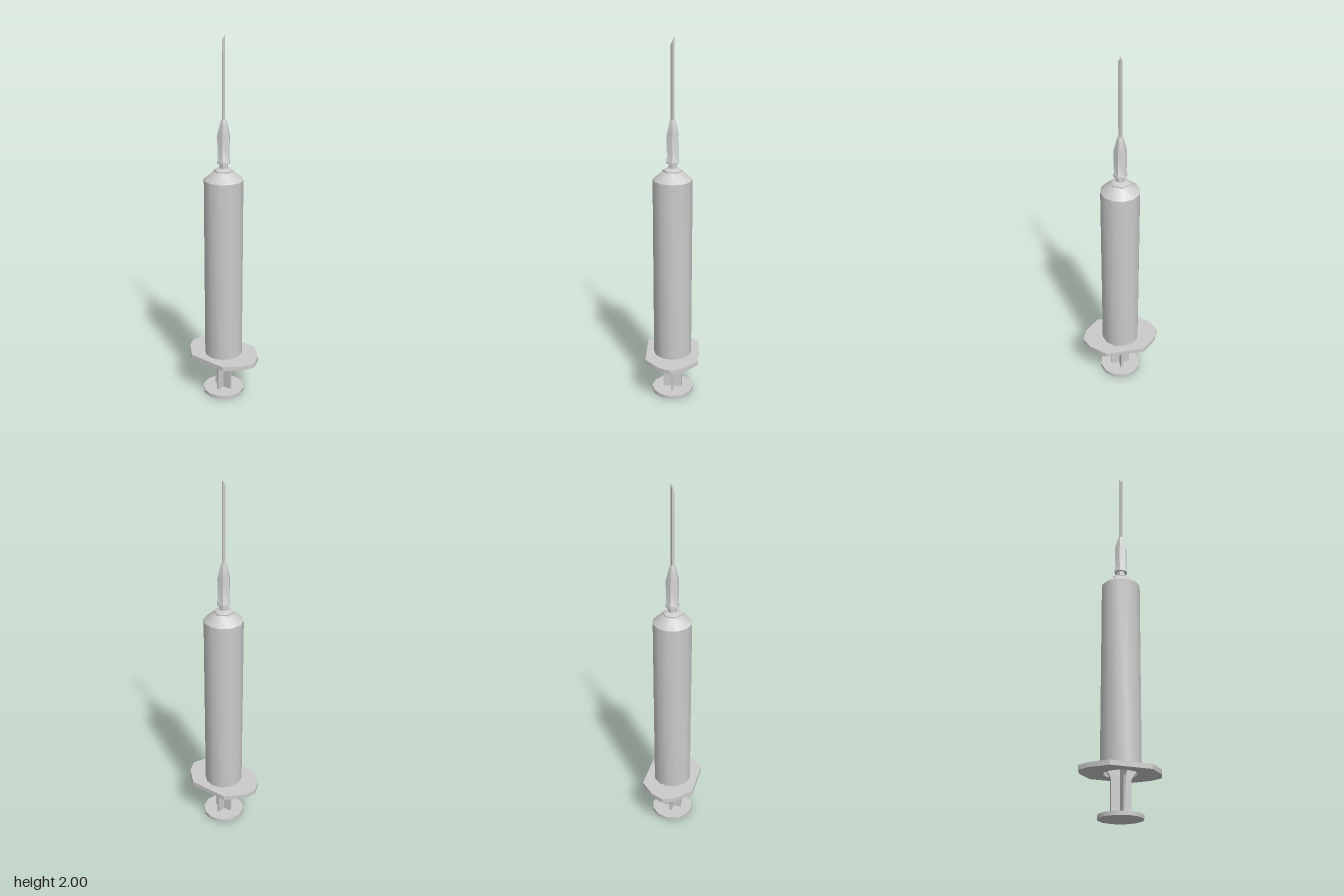
import * as THREE from 'three';
import { toCreasedNormals } from 'three/addons/utils/BufferGeometryUtils.js';

const material = new THREE.MeshStandardMaterial({ color: 0xcccccc });

function addPart(group, name, geometry) {
  const mesh = new THREE.Mesh(toCreasedNormals(geometry, 0.62), material);
  mesh.name = name;
  group.add(mesh);
  return mesh;
}

// Turned part from [radius, height] pairs
function turned(profile, sides, turn = 0) {
  const points = profile.map(([r, y]) => new THREE.Vector2(r, y));
  return new THREE.LatheGeometry(points, sides).rotateY(turn);
}

function polygon(pairs) {
  return new THREE.Shape(pairs.map(([x, y]) => new THREE.Vector2(x, y)));
}

export function createModel() {
  const group = new THREE.Group();
  const bore = 0.088;

  // Hollow barrel: down the bore, then up the outside and over the shoulder
  addPart(group, 'barrel', turned([
    [0, 1.25], [bore, 1.23], [bore, 0.245], [0.105, 0.245],
    [0.105, 1.262], [0.05, 1.308], [0, 1.308],
  ], 12));

  // Finger flange with a hole for the plunger
  const quarter = [[0.221, 0], [0.192, 0.068], [0.111, 0.146]];
  const half = [...quarter, ...quarter.slice(1).reverse().map(([x, y]) => [-x, y])];
  const flange = polygon([...half, ...half.map(([x, y]) => [x, -y]).slice(1).reverse()
    .filter(([, y]) => y !== 0)].toSpliced(5, 0, [-0.221, 0]));
  const hole = [];
  for (let i = 0; i < 12; i++) {
    const a = (i / 12) * Math.PI * 2;
    hole.push(new THREE.Vector2(bore * Math.cos(a), bore * Math.sin(a)));
  }
  flange.holes.push(new THREE.Path(hole));
  const flangeGeometry = new THREE.ExtrudeGeometry(flange, { depth: 0.025, bevelEnabled: false });
  addPart(group, 'fingerFlange', flangeGeometry.rotateX(-Math.PI / 2).translate(0, 0.222, 0));

  // Plunger: thumb rest, two crossed ribs that widen into the bore, stopper
  addPart(group, 'thumbRest', new THREE.CylinderGeometry(0.116, 0.116, 0.02, 12).translate(0, 0.01, 0));
  const rib = polygon([
    [-0.053, 0.018], [0.053, 0.018], [0.053, 0.195], [0.068, 0.222], [0.08, 0.235], [0.08, 1.15],
    [-0.08, 1.15], [-0.08, 0.235], [-0.068, 0.222], [-0.053, 0.195],
  ]);
  for (const [name, turn] of [['plungerRibAcross', 0], ['plungerRibDeep', Math.PI / 2]]) {
    const geometry = new THREE.ExtrudeGeometry(rib, { depth: 0.014, bevelEnabled: false });
    addPart(group, name, geometry.translate(0, 0, -0.007).rotateY(turn));
  }
  addPart(group, 'stopper', new THREE.CylinderGeometry(0.086, 0.086, 0.07, 12).translate(0, 1.185, 0));

  // Six-sided nozzle collar and neck
  addPart(group, 'nozzleCollar', turned([
    [0.053, 1.302], [0.053, 1.314], [0.03, 1.326], [0, 1.326],
  ], 6));
  addPart(group, 'nozzleNeck', turned([[0.026, 1.315], [0.024, 1.37]], 6, Math.PI / 6));

  // Needle hub with a lip at its base and a tapered top
  addPart(group, 'needleHub', turned([
    [0, 1.352], [0.037, 1.352], [0.037, 1.365], [0.033, 1.37],
    [0.035, 1.5], [0.017, 1.57], [0.013, 1.58], [0, 1.58],
  ], 6, Math.PI / 6));

  // Needle, its top slanted so the point lies at the back
  const needle = new THREE.CylinderGeometry(0.01, 0.01, 0.42, 4).translate(0, 1.785, 0);
  const p = needle.attributes.position;
  for (let i = 0; i < p.count; i++) {
    if (p.getY(i) > 1.9) p.setY(i, 1.975 - p.getZ(i) * 2.5);
  }
  addPart(group, 'needle', needle);

  return group;
}
